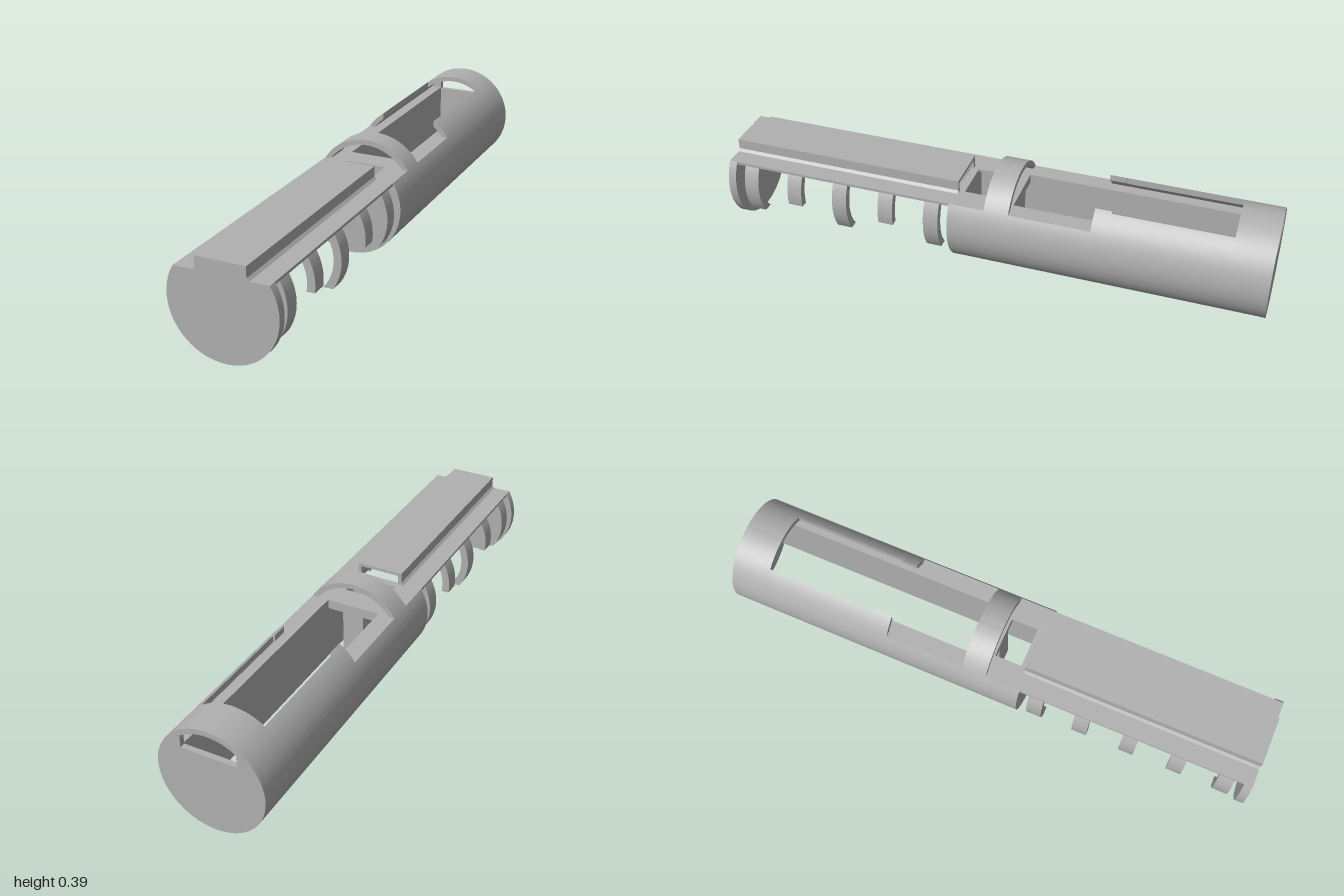
import * as THREE from 'three';
import { toCreasedNormals } from 'three/addons/utils/BufferGeometryUtils.js';

const CY = 0.193;      // height of the tube axis
const R = 0.193;       // outer radius
const RI = 0.174;      // inner radius of the upper shell
const DECK = 0.295;    // height of the flat deck cut
const CAVITY = 0.1;    // half width of the open bay
const FLAT = 0.055;    // height of the flat underside

const atY = (y, r) => Math.asin((y - CY) / r);   // angle where a circle reaches y
const atX = (x, r) => Math.acos(x / r);          // angle where a circle reaches x

// Points on a circle about the tube axis
function arc(r, a, b, n = 24) {
  return Array.from({ length: n + 1 }, (_, i) => {
    const t = a + (b - a) * i / n;
    return [r * Math.cos(t), CY + r * Math.sin(t)];
  });
}

export function createModel() {
  const group = new THREE.Group();
  const plastic = new THREE.MeshStandardMaterial({ color: 0xb0b0b0 });
  const toVectors = (pts, s = 1) => pts.map(([x, y]) => new THREE.Vector2(x * s, y));

  // Cross-section swept along z from z0 to z1
  function sweep(name, pts, z0, z1, { side = 1, hole } = {}) {
    const shape = new THREE.Shape(toVectors(pts, side));
    if (hole) shape.holes.push(new THREE.Path(toVectors(hole)));
    const geo = new THREE.ExtrudeGeometry(shape, { depth: z1 - z0, bevelEnabled: false });
    geo.translate(0, 0, z0);
    const mesh = new THREE.Mesh(toCreasedNormals(geo, 0.4), plastic);
    mesh.name = name;
    group.add(mesh);
  }

  const a0 = atY(DECK, R);
  const ai = atY(DECK, RI);
  const dx = R * Math.cos(a0);
  const lowerDisc = arc(R, Math.PI - a0, 2 * Math.PI + a0, 64);
  const railTop = [[0.097, DECK], [0.088, 0.304], [0.088, 0.342],
    [-0.088, 0.342], [-0.088, 0.304], [-0.097, DECK]];

  // End discs and middle bulkhead
  sweep('frontDisc', [...lowerDisc, ...railTop], 0.97, 1);
  sweep('middleBulkhead', lowerDisc, 0.105, 0.135);
  const h = atX(CAVITY, RI);
  sweep('rearDisc', arc(R, 0, Math.PI * 2 * 79 / 80, 79), -1, -0.98, {
    hole: [[-CAVITY, 0.29], [CAVITY, 0.29], ...arc(RI, h, Math.PI - h)],
  });

  // Front cover with its hollow raised rail
  sweep('railCover', [
    [0.075, 0.285], [dx, 0.285], [dx, DECK], ...railTop,
    [-dx, DECK], [-dx, 0.285], [-0.075, 0.285], [-0.075, 0.33], [0.075, 0.33],
  ], 0.125, 0.975);

  // Upper shell bands over the bay
  const band = [...arc(R, a0, Math.PI - a0, 40), ...arc(RI, Math.PI - ai, ai, 40)];
  sweep('middleRing', band, -0.085, 0.005);
  sweep('rearHood', band, -0.98, -0.86);

  // Bridge and post beneath the middle ring
  sweep('bridge', [[-0.1, 0.26], [0.1, 0.26], [0.1, DECK], [-0.1, DECK]], -0.085, 0.005);
  sweep('centrePost', [[-0.04, FLAT], [0.04, FLAT], [0.04, 0.26], [-0.04, 0.26]], -0.085, 0.005);

  // Shell strip from the deck up to a vertical cut at x
  const shellSide = (x) => [...arc(R, a0, atX(x, R)), ...arc(RI, atX(x, RI), ai)];

  for (const side of [1, -1]) {
    const opt = { side };
    sweep('bodyWall', [
      [CAVITY, FLAT], ...arc(R, atY(FLAT, R), a0, 32), [CAVITY, DECK],
    ], -0.98, 0.11, opt);
    sweep('upperWall', shellSide(0.113), -0.86, -0.44, opt);
    sweep('upperWallTab', shellSide(0.106), -0.44, -0.38, opt);
    sweep('deckLip', [[0.075, 0.285], [0.11, 0.285], [0.11, DECK], [0.075, DECK]], 0.005, 0.11, opt);

    // Curved clips under the cover, alternately long and short
    [0.91, 0.735, 0.555, 0.375, 0.2].forEach((z, i) => {
      const low = i % 2 ? 0.165 : 0.09;
      const ro = 0.185, ri = 0.157;
      sweep('clip', [
        ...arc(ro, atY(low, ro), atY(0.288, ro), 16),
        ...arc(ri, atY(0.288, ri), atY(low, ri), 16),
      ], z - 0.028, z + 0.028, opt);
    });
  }
  return group;
}
